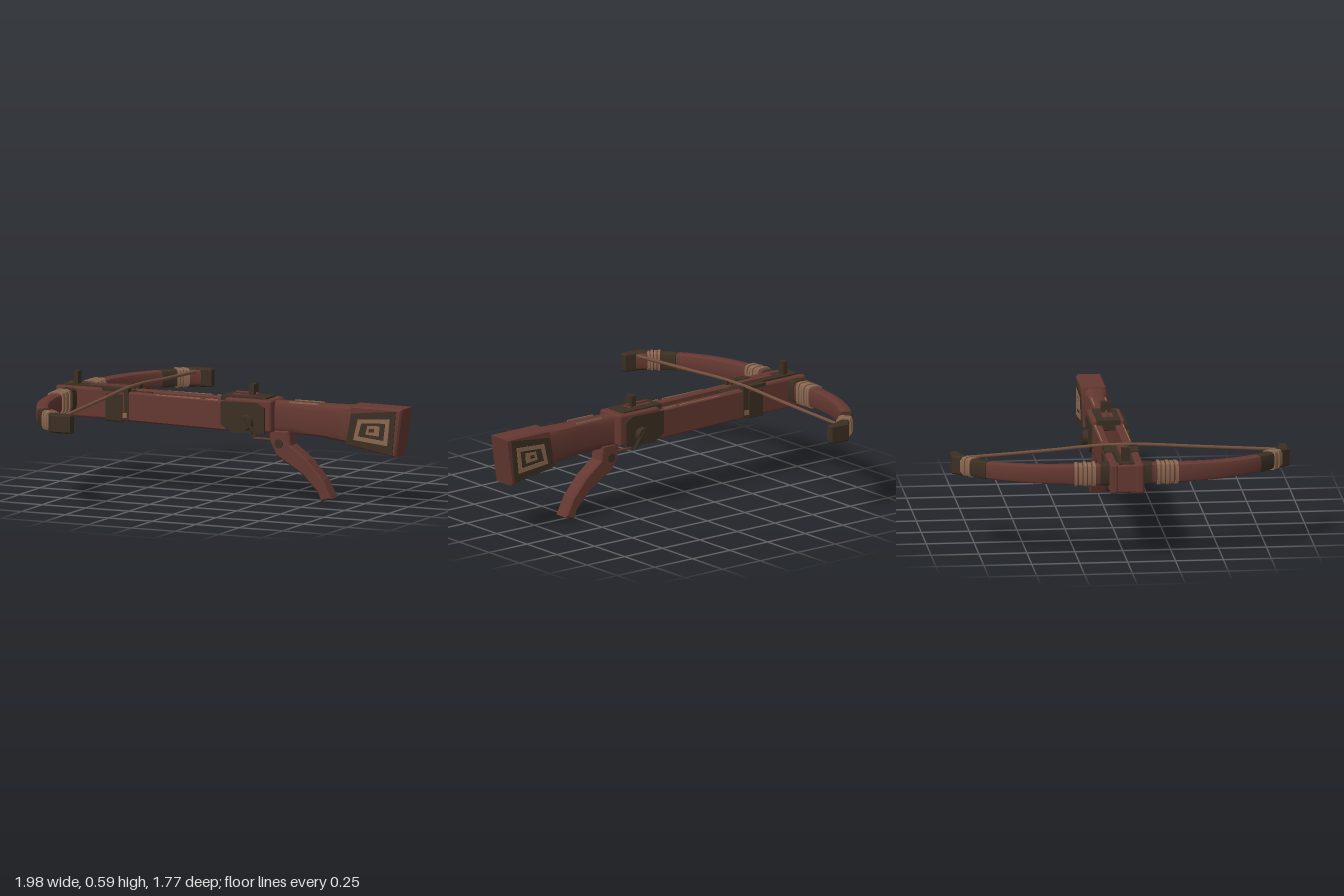
import * as THREE from 'three';
import { toCreasedNormals } from 'three/addons/utils/BufferGeometryUtils.js';
import { RoundedBoxGeometry } from 'three/addons/geometries/RoundedBoxGeometry.js';

const mat = (name, color) => {
  const m = new THREE.MeshStandardMaterial({ color });
  m.name = name;
  return m;
};
const V = (x, y, z) => new THREE.Vector3(x, y, z);

export function createModel() {
  const wood = mat('red brown wood', 0x643831);
  const metal = mat('dark iron', 0x3b2f22);
  const tan = mat('tan binding', 0x8a6850);
  const cord = mat('string cord', 0x75513f);
  const root = new THREE.Group();
  root.name = 'crossbow';

  const add = (name, geo, material, parent = root) => {
    const m = new THREE.Mesh(geo, material);
    m.name = name;
    parent.add(m);
    return m;
  };
  const group = (name) => {
    const g = new THREE.Group();
    g.name = name;
    root.add(g);
    return g;
  };
  // box given by its limits on each axis
  const box = (name, x0, x1, y0, y1, z0, z1, material, parent, round = 0) => {
    const s = [x1 - x0, y1 - y0, z1 - z0];
    const geo = round ? new RoundedBoxGeometry(...s, 1, round) : new THREE.BoxGeometry(...s);
    geo.translate((x0 + x1) / 2, (y0 + y1) / 2, (z0 + z1) / 2);
    return add(name, geo, material, parent);
  };
  // outline in x and y, extruded from z0 to z1 with optional hole and bevel
  const slab = (pts, z0, z1, bevel = 0, hole = null) => {
    const shape = new THREE.Shape(pts.map((p) => new THREE.Vector2(...p)));
    if (hole) shape.holes.push(new THREE.Path(hole.map((p) => new THREE.Vector2(...p))));
    const geo = new THREE.ExtrudeGeometry(shape, {
      depth: z1 - z0 - 2 * bevel, bevelEnabled: bevel > 0, bevelSize: bevel,
      bevelOffset: -bevel, bevelThickness: bevel, bevelSegments: 1,
    });
    return geo.translate(0, 0, z0 + bevel);
  };
  // rounded-rectangle rings { c: centre, t: tangent, w, h } joined into a capped solid
  const loft = (rings, n = 12) => {
    const pos = [], idx = [];
    rings.forEach(({ c, t, w, h }) => {
      const side = V(0, 1, 0).cross(t).normalize();
      for (let j = 0; j < n; j++) {
        const a = ((j + 0.5) / n) * Math.PI * 2;
        const sq = (v) => Math.sign(v) * Math.abs(v) ** 0.45;
        const p = c.clone().addScaledVector(side, sq(Math.cos(a)) * w);
        pos.push(p.x, p.y + sq(Math.sin(a)) * h, p.z);
      }
    });
    const last = rings.length - 1;
    for (let i = 0; i < last; i++) for (let j = 0; j < n; j++) {
      const a = i * n + j, b = i * n + (j + 1) % n;
      idx.push(a, b, b + n, a, b + n, a + n);
    }
    for (let j = 1; j < n - 1; j++) {
      idx.push(0, j + 1, j, last * n, last * n + j, last * n + j + 1);
    }
    const geo = new THREE.BufferGeometry();
    geo.setAttribute('position', new THREE.Float32BufferAttribute(pos, 3));
    geo.setIndex(idx);
    return toCreasedNormals(geo, 0.7);
  };

  // head: two cheeks, end crossbar and iron filling
  const head = group('head');
  for (const s of [-1, 1]) {
    const z = [s * 0.045, s * 0.09].sort((a, b) => a - b);
    box('headCheek', -0.99, -0.58, 0.36, 0.52, ...z, wood, head, 0.014);
  }
  box('headEnd', -0.985, -0.92, 0.365, 0.515, -0.075, 0.075, wood, head, 0.012);
  box('headFilling', -0.94, -0.58, 0.375, 0.505, -0.047, 0.047, metal, head);
  box('headTopPlate', -0.97, -0.7, 0.5, 0.522, -0.04, 0.04, metal, head);
  box('topRib', -0.82, -0.6, 0.51, 0.53, -0.018, 0.018, wood, head);
  box('frontSight', -0.915, -0.89, 0.51, 0.59, -0.022, 0.022, metal, head);
  box('headBand', -0.7, -0.6, 0.352, 0.5, -0.095, 0.095, metal, head, 0.008);
  for (const s of [-1, 1]) {
    box('bandTop', -0.72, -0.59, 0.5, 0.525, s * 0.065 - 0.024, s * 0.065 + 0.024, metal, head);
    box('bandClip', -0.605, -0.57, 0.36, 0.528, s * 0.07 - 0.02, s * 0.07 + 0.02, metal, head);
    box('bandTrim', -0.6, -0.575, 0.375, 0.4, s * 0.091 - 0.004, s * 0.091 + 0.004, tan, head);
  }
  box('stringRest', -0.58, -0.485, 0.4, 0.5, -0.035, 0.035, metal, head);

  // twin rails with an open slot between them
  const rails = group('rails');
  for (const s of [-1, 1]) {
    const g = slab([[-0.62, 0.357], [0.02, 0.345], [0.02, 0.5], [-0.62, 0.508]], -0.024, 0.024, 0.007);
    add('rail', g.translate(0, 0, s * 0.057), wood, rails);
    for (const [a, b] of [[-0.42, -0.16], [-0.13, -0.06]]) {
      box('railWear', a, b, 0.497, 0.506, s * 0.073 - 0.003, s * 0.073 + 0.003, tan, rails);
    }
  }

  // lock housing with iron plates, pivot and crank
  const lock = group('lock');
  box('lockBody', -0.02, 0.25, 0.35, 0.52, -0.088, 0.088, wood, lock, 0.014);
  box('lockTopPlate', -0.05, 0.21, 0.47, 0.53, -0.062, 0.062, metal, lock, 0.006);
  box('lockTopInlay', 0.0, 0.14, 0.525, 0.534, -0.028, 0.028, wood, lock);
  box('rearSight', 0.095, 0.125, 0.53, 0.59, -0.026, 0.026, metal, lock);
  for (const s of [-1, 1]) {
    const plate = slab([[-0.035, 0.38], [0.03, 0.34], [0.215, 0.345], [0.215, 0.48], [0.17, 0.505], [-0.035, 0.5]],
      -0.006, 0.006);
    add('lockSidePlate', plate.translate(0, 0, s * 0.09), metal, lock);
    const boss = new THREE.CylinderGeometry(0.036, 0.042, 0.03, 10).rotateX(s * Math.PI / 2);
    add('pivotBoss', boss.translate(0.115, 0.4, s * 0.108), metal, lock);
    const arm = new THREE.CylinderGeometry(0.009, 0.009, 0.11, 6).rotateZ(0.6);
    add('crankArm', arm.translate(0.145, 0.38, s * 0.118), metal, lock);
  }
  const rod = (name, pts) => {
    const path = new THREE.CurvePath();
    for (let i = 1; i < pts.length; i++) path.add(new THREE.LineCurve3(pts[i - 1], pts[i]));
    add(name, new THREE.TubeGeometry(path, 24, 0.007, 6), wood, lock);
  };
  rod('triggerGuard', [V(0.11, 0.38, 0), V(0.11, 0.303, 0), V(0.25, 0.303, 0)]);
  rod('topCatch', [V(0.01, 0.5, 0), V(0.01, 0.54, 0), V(0.135, 0.54, 0), V(0.135, 0.51, 0)]);

  // stock neck and flared butt
  const stock = group('stock');
  const neck = [[0.2, 0.34, 0.515, 0.045], [0.35, 0.342, 0.514, 0.042], [0.52, 0.338, 0.514, 0.049],
    [0.62, 0.325, 0.515, 0.056], [0.71, 0.312, 0.517, 0.058]];
  add('stockNeck', loft(neck.map(([x, y0, y1, w]) =>
    ({ c: V(x, (y0 + y1) / 2, 0), t: V(1, 0, 0), w, h: (y1 - y0) / 2 }))), wood, stock);
  add('butt', slab([[0.675, 0.313], [0.955, 0.265], [0.993, 0.52], [0.695, 0.522]], -0.066, 0.066, 0.009), wood, stock);
  const outer = [[0.672, 0.322], [0.937, 0.276], [0.958, 0.508], [0.702, 0.482]];
  const ring = [[0.715, 0.345], [0.91, 0.325], [0.925, 0.465], [0.742, 0.455]];
  const ringHole = [[0.742, 0.365], [0.888, 0.35], [0.9, 0.442], [0.762, 0.435]];
  const core = [[0.785, 0.378], [0.862, 0.372], [0.867, 0.426], [0.797, 0.424]];
  const coreHole = [[0.802, 0.39], [0.835, 0.39], [0.835, 0.41], [0.806, 0.41]];
  for (const s of [-1, 1]) {
    add('buttPlate', slab(outer, -0.004, 0.004).translate(0, 0, s * 0.066), metal, stock);
    add('plateRing', slab(ring, -0.003, 0.003, 0, ringHole).translate(0, 0, s * 0.07), tan, stock);
    add('plateCore', slab(core, -0.003, 0.003, 0, coreHole).translate(0, 0, s * 0.07), tan, stock);
    box('stockWear', 0.33, 0.5, 0.508, 0.516, s * 0.036 - 0.003, s * 0.036 + 0.003, tan, stock);
  }

  // long trigger lever with its pivot pin
  const lever = group('triggerLever');
  add('lever', slab([[0.215, 0.36], [0.33, 0.36], [0.34, 0.285], [0.435, 0.215], [0.525, 0.115], [0.575, 0.02],
    [0.515, 0.002], [0.495, 0.05], [0.41, 0.135], [0.26, 0.225], [0.225, 0.29]], -0.044, 0.044, 0.008), wood, lever);
  add('leverPin', new THREE.CylinderGeometry(0.024, 0.024, 0.1, 10).rotateX(Math.PI / 2)
    .translate(0.275, 0.29, 0), metal, lever);

  // bow limbs, built for both sides
  const line = [[-0.905, 0.03], [-0.907, 0.17], [-0.904, 0.26], [-0.875, 0.45], [-0.82, 0.6],
    [-0.745, 0.725], [-0.665, 0.8], [-0.6, 0.845]];
  const tip = [[-0.637, 0.883], [-0.53, 0.877], [-0.527, 0.835], [-0.595, 0.825], [-0.65, 0.795], [-0.677, 0.832]];
  for (const s of [-1, 1]) {
    const bow = group(s > 0 ? 'frontLimb' : 'backLimb');
    const curve = new THREE.CatmullRomCurve3(line.map(([x, z]) => V(x, 0.455, s * z)));
    const span = (name, u0, u1, grow, material, steps) => {
      const rings = [];
      for (let i = 0; i <= steps; i++) {
        const u = u0 + (u1 - u0) * i / steps;
        rings.push({ c: curve.getPointAt(u), t: curve.getTangentAt(u),
          w: 0.04 - 0.009 * u + grow, h: 0.056 - 0.015 * u + grow });
      }
      add(name, loft(rings), material, bow);
    };
    span('limb', 0, 1, 0, wood, 24);
    span('rootSleeve', 0.03, 0.115, 0.004, metal, 2);
    span('tipSleeve', 0.76, 0.86, 0.002, metal, 4);
    for (let i = 0; i < 5; i++) {
      span('rootBinding', 0.142 + i * 0.025, 0.16 + i * 0.025, i % 2 ? 0.005 : 0.008, tan, 1);
    }
    for (let i = 0; i < 4; i++) {
      span('tipBinding', 0.86 + i * 0.02, 0.875 + i * 0.02, i % 2 ? 0.006 : 0.009, tan, 1);
    }
    const cap = slab(tip.map(([x, z]) => [x, s * z]), 0, 0.098, 0.008);
    add('limbTip', cap.rotateX(Math.PI / 2).translate(0, 0.503, 0), metal, bow);
  }

  // string, arched over the rails
  const stringPath = new THREE.CatmullRomCurve3([V(-0.612, 0.485, -0.83), V(-0.598, 0.508, -0.4),
    V(-0.587, 0.528, -0.1), V(-0.585, 0.528, 0.1), V(-0.588, 0.51, 0.4), V(-0.595, 0.485, 0.83)]);
  add('bowString', new THREE.TubeGeometry(stringPath, 24, 0.009, 6), cord);

  return root;
}
